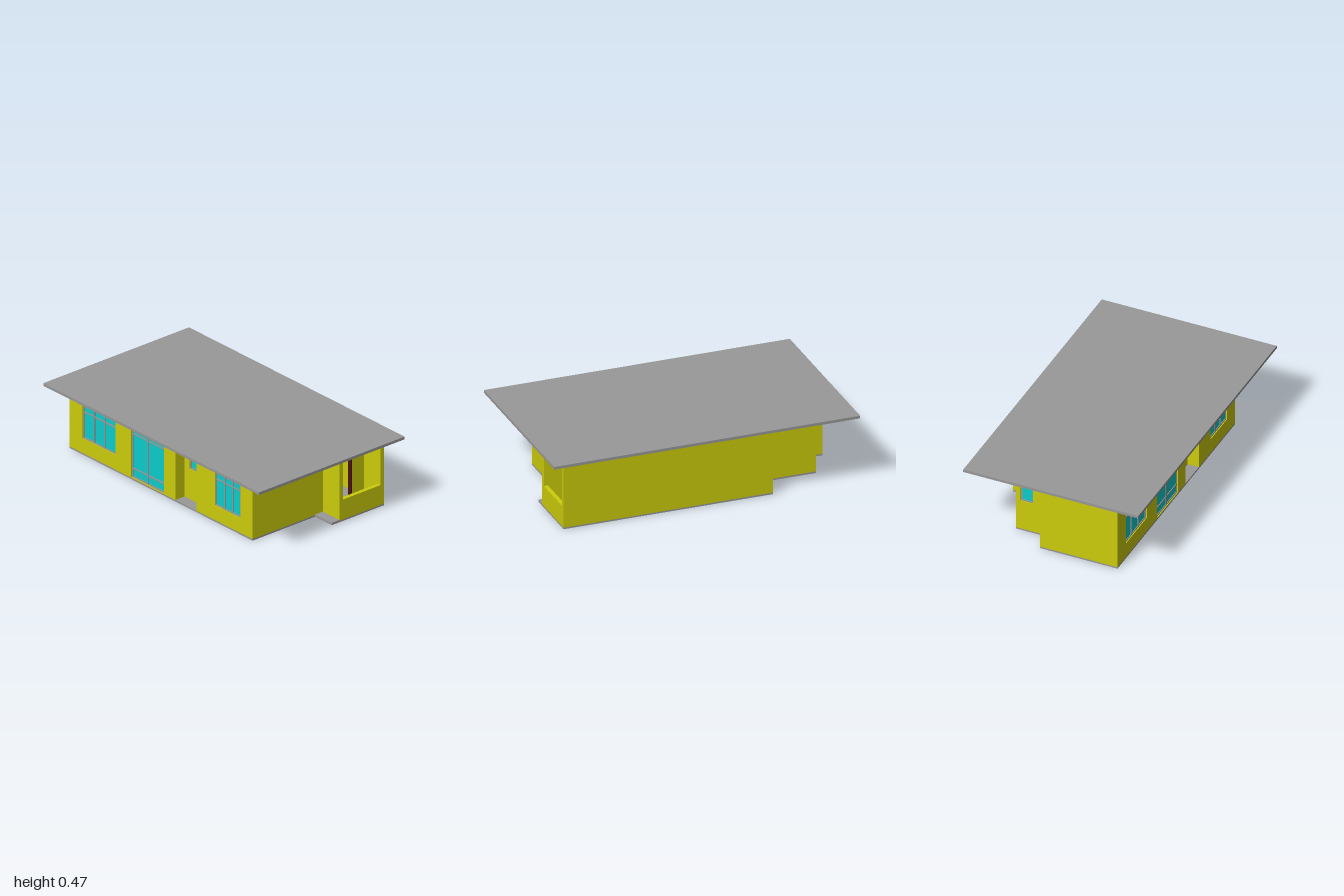
import * as THREE from 'three';

const mat = (color) => new THREE.MeshStandardMaterial({ color, flatShading: true });
const YELLOW = mat(0xcccc0c), GREY = mat(0x999999), CYAN = mat(0x0ccccc);
const RED = mat(0xf50c10), MAROON = mat(0x4a1210), BROWN = mat(0x605a42);

const T = 0.027;              // wall thickness
const Y0 = 0.01, Y1 = 0.46;   // wall bottom and top (top is tucked into the roof)

function box(parent, name, material, x0, x1, y0, y1, z0, z1) {
  const mesh = new THREE.Mesh(new THREE.BoxGeometry(x1 - x0, y1 - y0, z1 - z0), material);
  mesh.name = name;
  mesh.position.set((x0 + x1) / 2, (y0 + y1) / 2, (z0 + z1) / 2);
  parent.add(mesh);
  return mesh;
}

const rectPath = (Type, x0, x1, y0, y1) => new Type([[x0, y0], [x1, y0], [x1, y1], [x0, y1]]
  .map(([x, y]) => new THREE.Vector2(x, y)));

// Bars at the given positions; the first and last of each list form the outer frame
function frame(parent, name, material, xs, ys, w, z0, z1) {
  const [xa, xb, ya, yb] = [xs[0], xs[xs.length - 1], ys[0], ys[ys.length - 1]];
  const span = (v, a, b) => (v === a ? [v, v + w] : v === b ? [v - w, v] : [v - w / 2, v + w / 2]);
  xs.forEach((x) => box(parent, name, material, ...span(x, xa, xb), ya, yb, z0, z1));
  ys.forEach((y) => box(parent, name, material, xa, xb, ...span(y, ya, yb), z0, z1));
}

// Glazed opening: xs and ys list the frame, mullion and transom positions
function glazing(parent, name, xs, ys) {
  const g = new THREE.Group();
  g.name = name;
  box(g, 'glass', CYAN, xs[0], xs[xs.length - 1], ys[0], ys[ys.length - 1], -0.017, -0.011);
  frame(g, 'windowFrame', GREY, xs, ys, 0.009, -0.021, -0.006);
  parent.add(g);
}

// Open doorway with a lining of two jambs and a head
function doorway(parent, u0, u1, top) {
  box(parent, 'doorJamb', MAROON, u0, u0 + 0.007, Y0, top, -T - 0.002, 0.002);
  box(parent, 'doorJamb', MAROON, u1 - 0.007, u1, Y0, top, -T - 0.002, 0.002);
  box(parent, 'doorHead', MAROON, u0, u1, top - 0.007, top, -T - 0.002, 0.002);
}

// Wall from a to b (x, z) seen left to right from outside; local +z points outward
function wall(parent, name, a, b, holes = []) {
  const dx = b[0] - a[0], dz = b[1] - a[1];
  const g = new THREE.Group();
  g.name = name;
  g.position.set(a[0], 0, a[1]);
  g.rotation.y = Math.atan2(-dz, dx);
  const shape = rectPath(THREE.Shape, 0, Math.hypot(dx, dz), Y0, Y1);
  holes.forEach((h) => shape.holes.push(rectPath(THREE.Path, ...h)));
  const geo = new THREE.ExtrudeGeometry(shape, { depth: T, bevelEnabled: false });
  const mesh = new THREE.Mesh(geo.translate(0, 0, -T), YELLOW);
  mesh.name = name + 'Panel';
  g.add(mesh);
  parent.add(g);
  return g;
}

// Flat floor slab from an outline in x, z
function slab(parent, name, pts, height, hole) {
  const shape = new THREE.Shape(pts.map(([x, z]) => new THREE.Vector2(x, -z)));
  if (hole) shape.holes.push(rectPath(THREE.Path, ...hole));
  const geo = new THREE.ExtrudeGeometry(shape, { depth: height, bevelEnabled: false });
  const mesh = new THREE.Mesh(geo.rotateX(-Math.PI / 2), GREY);
  mesh.name = name;
  parent.add(mesh);
}

export function createModel() {
  const house = new THREE.Group();
  house.name = 'house';

  // Flat roof with wide eaves
  box(house, 'roof', GREY, -1, 1, 0.455, 0.473, -0.59, 0.585);

  // Floor slab, raised porch floor and inset floor panel
  slab(house, 'floorSlab', [[-0.945, 0.42], [0.75, 0.42], [0.75, -0.085], [0.75, -0.505],
    [-0.465, -0.505], [-0.465, -0.32], [-0.817, -0.32], [-0.817, -0.1], [-0.945, -0.1]],
  0.011, [-0.92, -0.815, -0.32, -0.01]);
  slab(house, 'porchFloor', [[0.75, -0.085], [0.905, -0.085], [0.905, -0.505], [0.75, -0.505]], 0.015);
  box(house, 'floorPanel', BROWN, -0.92, -0.815, 0.001, 0.011, 0.01, 0.32);

  // Front wall with the wide window and the glazed terrace door
  const front = wall(house, 'frontWall', [-0.945, 0.42], [0.035, 0.42],
    [[0.12, 0.425, 0.11, 0.36], [0.57, 0.875, 0.015, 0.36]]);
  glazing(front, 'wideWindow', [0.12, 0.22, 0.32, 0.425], [0.11, 0.29, 0.36]);
  glazing(front, 'terraceDoor', [0.57, 0.72, 0.875], [0.015, 0.077, 0.31, 0.36]);

  // Recess with a small window
  wall(house, 'recessLeftWall', [0.035, 0.42], [0.035, 0.345]);
  const recess = wall(house, 'recessWall', [0.035, 0.345], [0.23, 0.345], [[0.045, 0.132, 0.215, 0.36]]);
  glazing(recess, 'smallWindow', [0.045, 0.132], [0.215, 0.36]);
  wall(house, 'recessRightWall', [0.23, 0.345], [0.23, 0.42]);

  // Front room
  const room = wall(house, 'frontRoomWall', [0.23, 0.42], [0.75, 0.42], [[0.17, 0.407, 0.11, 0.36]]);
  glazing(room, 'roomWindow', [0.17, 0.252, 0.328, 0.407], [0.11, 0.29, 0.36]);
  wall(house, 'sideWall', [0.75, 0.42], [0.75, -0.147]);

  // Porch with an open side above a parapet, and a doorway into the house
  wall(house, 'porchFrontWall', [0.75, -0.147], [0.905, -0.147]);
  wall(house, 'porchParapet', [0.905, -0.147], [0.905, -0.505], [[0.028, 0.332, 0.145, 0.455]]);
  const inner = wall(house, 'porchInnerWall', [0.75, -0.147], [0.75, -0.505], [[0.113, 0.234, 0.016, 0.362]]);
  doorway(inner, 0.113, 0.234, 0.362);

  // Back wall and main entrance with its leaf swung inward
  wall(house, 'backWall', [0.905, -0.505], [-0.465, -0.505]);
  const entry = wall(house, 'entranceWall', [-0.465, -0.505], [-0.465, -0.32], [[0.025, 0.18, 0.012, 0.365]]);
  doorway(entry, 0.025, 0.18, 0.365);
  box(entry, 'doorLeaf', RED, 0.167, 0.173, 0.014, 0.358, -0.16, -0.012);

  // Rear left room with a small side window, then the stepped left side
  wall(house, 'rearRoomWall', [-0.465, -0.32], [-0.817, -0.32]);
  const rear = wall(house, 'rearSideWall', [-0.817, -0.32], [-0.817, -0.1], [[0.03, 0.115, 0.215, 0.36]]);
  glazing(rear, 'smallWindow', [0.03, 0.115], [0.215, 0.36]);
  wall(house, 'leftStepWall', [-0.817, -0.1], [-0.945, -0.1]);
  wall(house, 'leftWall', [-0.945, -0.1], [-0.945, 0.42]);

  // Inner partition beside the entrance
  wall(house, 'partition', [-0.465, 0.393], [-0.465, -0.32]);
  return house;
}
